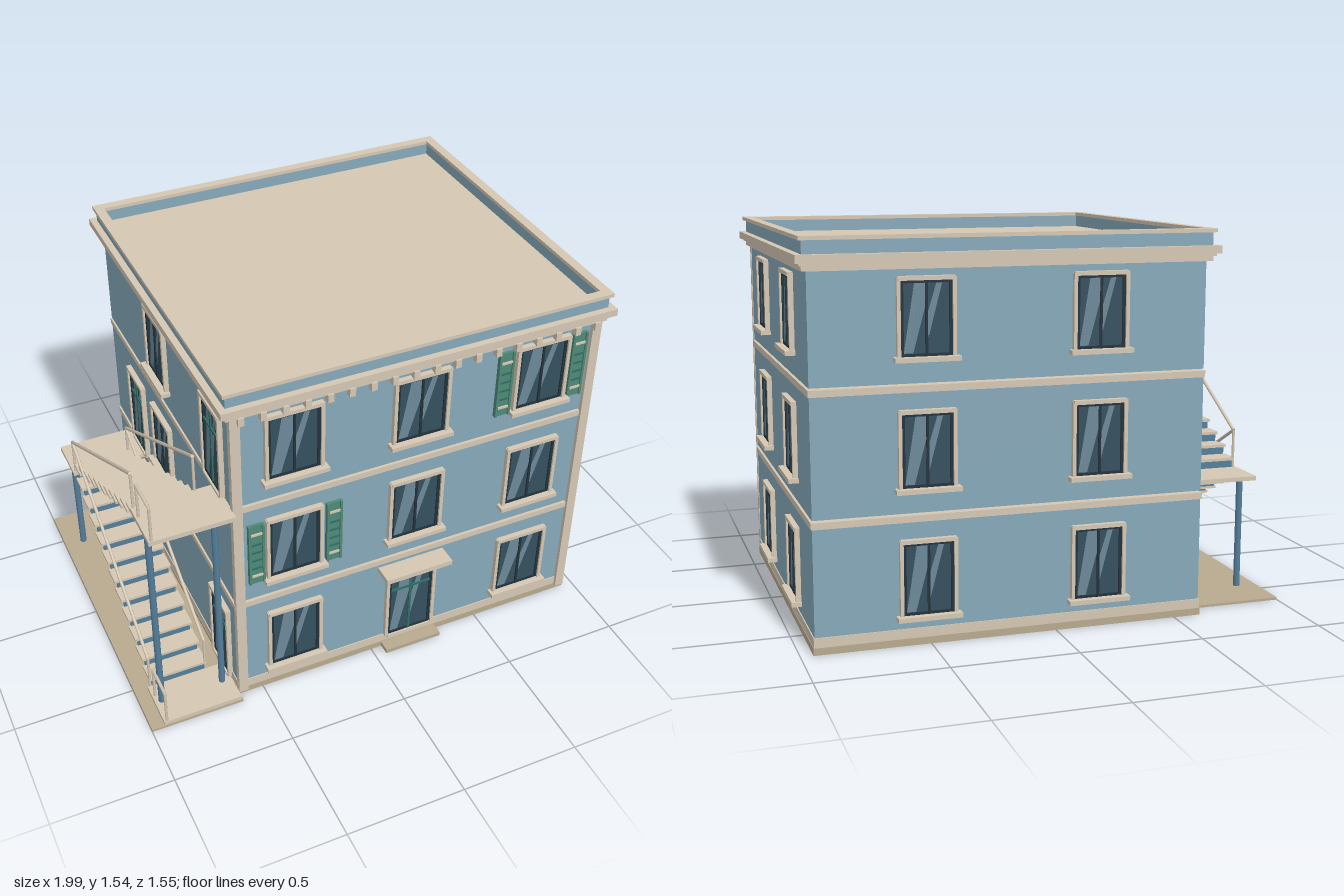
import * as THREE from 'three';

const mat = (color) => new THREE.MeshStandardMaterial({ color });
const WALL = mat(0x87a9ba), TRIM = mat(0xd5c8b4), SLAB = mat(0xb8aa8f), GLASS = mat(0x35505f);
const SHEEN = mat(0x6d8999), DARK = mat(0x22323c), GREEN = mat(0x4f8a78), DOOR = mat(0x2f7068);
const STEEL = mat(0x557f9c);
SHEEN.side = THREE.DoubleSide;

const X0 = -0.605, X1 = 0.945, Z0 = -0.73, Z1 = 0.69;

// Box given by its extents
function box(parent, name, m, x0, x1, y0, y1, z0, z1) {
  const mesh = new THREE.Mesh(new THREE.BoxGeometry(x1 - x0, y1 - y0, z1 - z0), m);
  mesh.position.set((x0 + x1) / 2, (y0 + y1) / 2, (z0 + z1) / 2);
  mesh.name = name;
  parent.add(mesh);
  return mesh;
}

// Box covering the building plan, grown outwards by g
const planBox = (parent, name, m, y0, y1, g) =>
  box(parent, name, m, X0 - g, X1 + g, y0, y1, Z0 - g, Z1 + g);

// Hollow rectangular course around the roof
function ring(parent, name, m, y0, y1, gOut, gIn) {
  const rect = (path, g) => path.moveTo(X0 - g, -Z1 - g).lineTo(X1 + g, -Z1 - g)
    .lineTo(X1 + g, -Z0 + g).lineTo(X0 - g, -Z0 + g).closePath();
  const shape = new THREE.Shape(), hole = new THREE.Path();
  rect(shape, gOut);
  rect(hole, gIn);
  shape.holes.push(hole);
  const mesh = new THREE.Mesh(
    new THREE.ExtrudeGeometry(shape, { depth: y1 - y0, bevelEnabled: false }), m);
  mesh.rotation.x = -Math.PI / 2;
  mesh.position.y = y0;
  mesh.name = name;
  parent.add(mesh);
}

// Flat light reflection on a pane
function sheen(parent, points) {
  const shape = new THREE.Shape(points.map(([x, y]) => new THREE.Vector2(x, y)));
  const mesh = new THREE.Mesh(new THREE.ShapeGeometry(shape), SHEEN);
  mesh.position.z = 0.0085;
  mesh.name = 'paneReflection';
  parent.add(mesh);
}

// Window or door facing +z, origin at the bottom centre on the wall plane
function opening(name, w, h, isDoor) {
  const g = new THREE.Group(), r = w / 2, t = 0.014;
  g.name = name;
  for (const s of [-1, 1]) {
    const c = s * (r + t / 2 - 0.002);
    box(g, 'sideTrim', TRIM, c - t / 2, c + t / 2, 0, h, -0.005, 0.02);
    const f = s * (r - 0.008);
    box(g, 'sashStile', DARK, f - 0.006, f + 0.006, 0, h - 0.005, 0, 0.012);
  }
  box(g, 'topTrim', TRIM, -r - 0.008, r + 0.008, h - 0.012, h + 0.004, -0.005, 0.022);
  box(g, 'glass', GLASS, -r, r, 0, h - 0.005, -0.005, 0.007);
  box(g, 'topRail', DARK, -r, r, h - 0.022, h - 0.012, 0, 0.012);
  box(g, 'bottomRail', DARK, -r, r, 0, 0.01, 0, 0.012);
  box(g, 'mullion', isDoor ? DOOR : DARK, -0.005, 0.005, 0, h - 0.012, 0, 0.013);
  const top = h - 0.022;
  sheen(g, [[-r * 0.45, top], [-0.005, top], [-0.005, h * 0.62], [-r * 0.5, 0.012], [-r * 0.86, 0.012]]);
  sheen(g, [[0.005, h * 0.55], [r * 0.38, top], [r * 0.6, top], [0.005, h * 0.2]].reverse());
  if (isDoor) {
    box(g, 'doorRail', DOOR, -r + 0.012, r - 0.012, h * 0.69, h * 0.69 + 0.01, 0, 0.013);
    box(g, 'threshold', TRIM, -r, r, -0.012, 0, -0.005, 0.02);
  } else {
    box(g, 'sill', TRIM, -r - 0.025, r + 0.025, -0.018, 0, -0.005, 0.04);
  }
  return g;
}

// Round bar between two points
function bar(parent, name, m, radius, a, b) {
  const p = new THREE.Vector3(...a), q = new THREE.Vector3(...b);
  const mesh = new THREE.Mesh(new THREE.CylinderGeometry(radius, radius, p.distanceTo(q), 8), m);
  mesh.position.copy(p).lerp(q, 0.5);
  mesh.quaternion.setFromUnitVectors(new THREE.Vector3(0, 1, 0), q.sub(p).normalize());
  mesh.name = name;
  parent.add(mesh);
}

// Straight flight with treads, risers and handrails
function flight(parent, name, zStart, yStart, zEnd, yEnd) {
  const g = new THREE.Group(), n = 12;
  g.name = name;
  parent.add(g);
  const dz = (zEnd - zStart) / (n - 1), dy = (yEnd - yStart) / n, dir = Math.sign(dz);
  for (let i = 0; i < n; i++) {
    const z = zStart + i * dz, y = yStart + (i + 1) * dy;
    box(g, 'riser', STEEL, -0.925, -0.695, y - dy, y - 0.01, z - 0.004, z + 0.004);
    if (i < n - 1) {
      const za = z - dir * 0.006, zb = z + dz;
      box(g, 'tread', TRIM, -0.935, -0.685, y - 0.012, y, Math.min(za, zb), Math.max(za, zb));
    }
  }
  for (const x of [-0.932, -0.69]) {
    const a = [x, yStart + 0.16, zStart], b = [x, yEnd + 0.16, zEnd];
    bar(g, 'handrail', TRIM, 0.007, a, b);
    bar(g, 'railPost', TRIM, 0.006, [x, yStart, zStart], a);
    bar(g, 'railPost', TRIM, 0.006, [x, yEnd, zEnd], b);
  }
}

// Short railing on the outer edge of a landing
function landingRail(parent, y) {
  const x = -0.932, h = y + 0.155;
  bar(parent, 'landingRail', TRIM, 0.007, [x, h, 0.585], [x, h, 0.727]);
  for (const z of [0.585, 0.727]) bar(parent, 'landingPost', TRIM, 0.006, [x, y, z], [x, h, z]);
}

// Louvred shutter
function shutter(parent, x, y) {
  const g = new THREE.Group();
  g.name = 'shutter';
  g.position.set(x, y, Z1);
  parent.add(g);
  box(g, 'shutterPanel', GREEN, -0.032, 0.032, 0, 0.295, 0, 0.012);
  for (const s of [-1, 1]) box(g, 'shutterStile', GREEN, s * 0.028 - 0.005, s * 0.028 + 0.005, 0, 0.295, 0, 0.018);
  for (const v of [0.035, 0.245]) box(g, 'shutterBatten', TRIM, -0.03, 0.03, v, v + 0.01, 0, 0.017);
  for (const v of [0.075, 0.115, 0.155, 0.195]) box(g, 'shutterSlat', DOOR, -0.024, 0.024, v, v + 0.008, 0, 0.016);
}

export function createModel() {
  const model = new THREE.Group();
  model.name = 'apartmentBuilding';

  // Storeys, separated by narrow gaps, with a band closing each one
  for (const [y0, y1] of [[0, 0.48], [0.512, 0.97], [1.0, 1.45]]) planBox(model, 'storeyWall', WALL, y0, y1, 0);
  for (const y of [0.478, 0.967]) planBox(model, 'floorBand', TRIM, y, y + 0.026, 0.005);
  planBox(model, 'base', SLAB, 0, 0.028, 0.006);
  planBox(model, 'plinth', TRIM, 0.028, 0.066, 0.004);
  for (const x of [X0 - 0.003, X1 - 0.037]) box(model, 'cornerPilaster', TRIM, x, x + 0.04, 0.02, 1.44, 0.68, 0.706);

  // Cornice, dentils, parapet and flat roof
  planBox(model, 'lowerCornice', TRIM, 1.42, 1.442, 0.02);
  planBox(model, 'cornice', TRIM, 1.45, 1.48, 0.045);
  planBox(model, 'corniceStep', TRIM, 1.44, 1.452, 0.03);
  ring(model, 'parapet', WALL, 1.48, 1.532, 0.018, -0.005);
  ring(model, 'parapetCap', TRIM, 1.53, 1.545, 0.03, -0.01);
  for (let i = 0; i < 18; i++) {
    const x = -0.567 + i * 0.0875;
    box(model, 'dentil', TRIM, x - 0.012, x + 0.012, 1.39, 1.425, Z1, 0.718);
  }

  // Windows and doors on all four sides
  const add = (name, x, y, z, turn, w, h, isDoor) => {
    const o = opening(name, w, h, isDoor);
    o.position.set(x, y, z);
    o.rotation.y = turn;
    model.add(o);
  };
  [0.12, 0.61, 1.1].forEach((y, floor) => {
    for (const x of [-0.355, 0.17, 0.695])
      if (floor || x !== 0.17) add('frontWindow', x, y, Z1, 0, 0.215, 0.29);
    for (const z of [0.287, -0.337]) add('rightWindow', X1, y, z, Math.PI / 2, 0.2, 0.29);
    for (const x of [0.51, -0.17]) add('backWindow', x, y, Z0, Math.PI, 0.2, 0.29);
    if (floor) add('leftWindow', X0, y, -0.08, -Math.PI / 2, 0.2, 0.29);
  });
  add('frontDoor', 0.17, 0.067, Z1, 0, 0.205, 0.35, true);
  for (const [y, z] of [[0.04, 0.53], [0.52, -0.4], [1.01, 0.53]])
    add('sideDoor', X0, y, z, -Math.PI / 2, 0.17, 0.37, true);
  box(model, 'doorCanopy', TRIM, 0.02, 0.317, 0.438, 0.46, Z1, 0.775);
  box(model, 'doorStep', SLAB, 0.045, 0.3, 0.008, 0.026, Z1, 0.75);

  // Shutters
  for (const [x, y] of [[-0.515, 0.6], [-0.188, 0.6], [0.53, 1.09], [0.858, 1.09]]) shutter(model, x, y);

  // Outside staircase
  const stairs = new THREE.Group();
  stairs.name = 'outsideStaircase';
  model.add(stairs);
  box(stairs, 'groundSlab', SLAB, -1, X0, 0, 0.01, -0.66, 0.74);
  box(stairs, 'stairFoot', TRIM, -0.945, -0.61, 0.01, 0.026, 0.53, 0.735);
  box(stairs, 'middleLanding', TRIM, -0.945, X0, 0.488, 0.506, -0.55, -0.35);
  box(stairs, 'topLanding', TRIM, -0.945, X0, 0.976, 0.996, 0.525, 0.735);
  for (const x of [-0.915, -0.652]) {
    bar(stairs, 'landingColumn', STEEL, 0.014, [x, 0.01, -0.46], [x, 0.488, -0.46]);
    bar(stairs, 'landingColumn', STEEL, 0.014, [x, 0.01, 0.62], [x, 0.976, 0.62]);
  }
  flight(stairs, 'lowerFlight', 0.525, 0.026, -0.36, 0.506);
  flight(stairs, 'upperFlight', -0.36, 0.506, 0.525, 0.996);
  landingRail(stairs, 0.026);
  landingRail(stairs, 0.996);

  return model;
}
